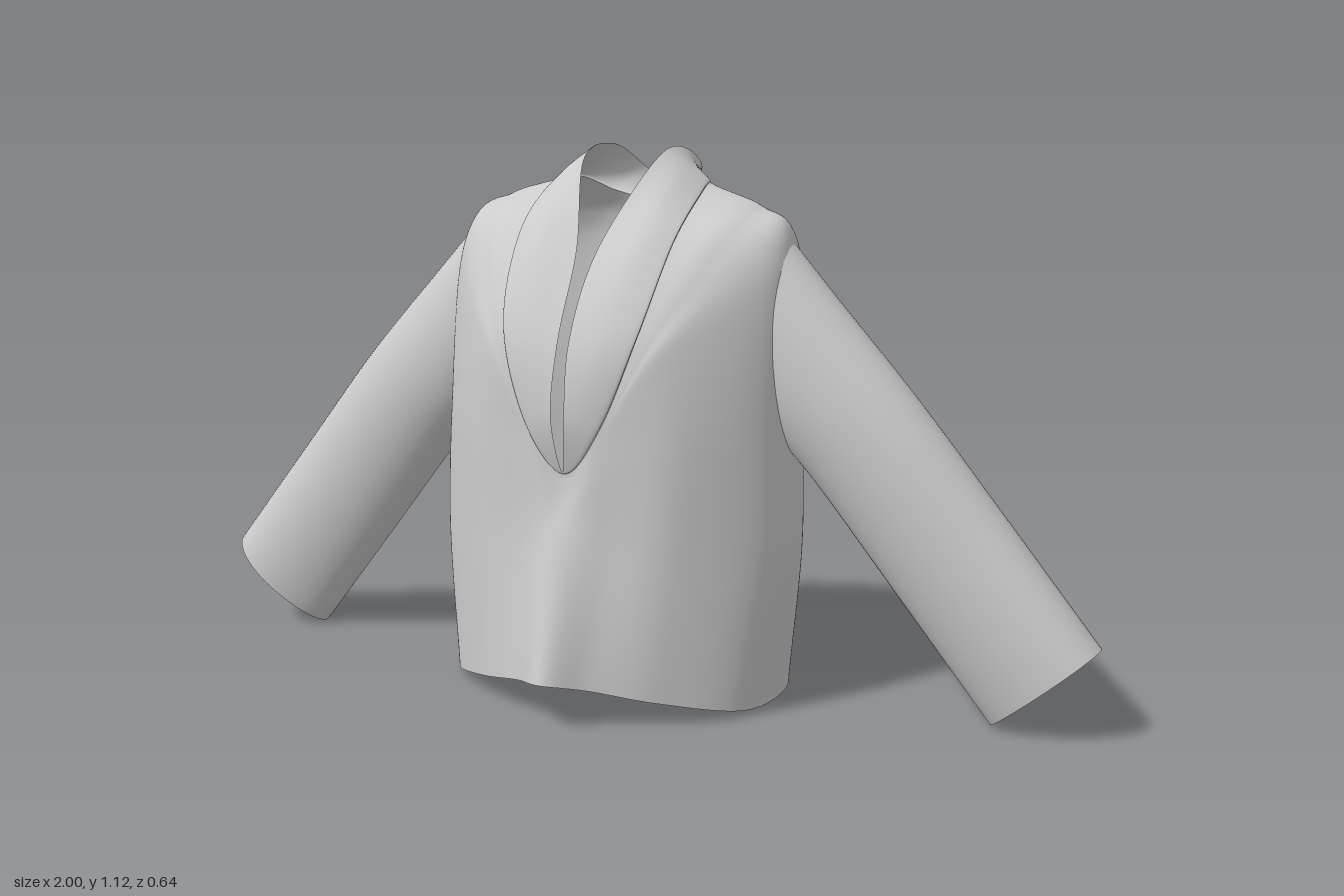
import * as THREE from 'three';

const cloth = new THREE.MeshStandardMaterial({ color: 0xcccccc, side: THREE.DoubleSide });
const V = (p) => new THREE.Vector3(...p);

// Smooth skin through a stack of closed rings that share the same point count.
// Faces whose corner lies in the optional opening are left out.
function loft(name, rings, nu, nv, inOpening = () => false) {
  const curves = rings.map((r) => new THREE.CatmullRomCurve3(r, true, 'catmullrom'));
  const points = [], index = [];
  for (let i = 0; i < nu; i++) {
    const column = new THREE.CatmullRomCurve3(curves.map((c) => c.getPoint(i / nu)), false, 'catmullrom');
    for (let j = 0; j <= nv; j++) points.push(column.getPoint(j / nv));
  }
  for (let i = 0; i < nu; i++) {
    for (let j = 0; j < nv; j++) {
      const a = i * (nv + 1) + j, b = ((i + 1) % nu) * (nv + 1) + j;
      const corners = [a, b, a + 1, b + 1];
      if (!corners.every((k) => inOpening(points[k]))) index.push(a, b, a + 1, b, b + 1, a + 1);
    }
  }
  const geo = new THREE.BufferGeometry().setFromPoints(points);
  geo.setIndex(index);
  geo.computeVertexNormals();
  const mesh = new THREE.Mesh(geo, cloth);
  mesh.name = name;
  return mesh;
}

// Half ring (front centre, round the +x side, to back centre) mirrored to a full loop
function mirrored(half) {
  const other = half.slice(1, -1).reverse().map(([x, y, z]) => [-x, y, z]);
  return [...half, ...other].map(V);
}

// Body cross-sections, from the hem up to the neckline
const hem = [[0, .095, .32], [.08, .078, .262], [.2, .048, .19], [.325, .015, .07], [.35, .007, -.08], [.31, .01, -.21], [.17, .022, -.297], [0, .025, -.24]];
const waist = [[0, .35, .248], [.1, .34, .217], [.22, .33, .175], [.355, .32, .05], [.385, .32, -.08], [.33, .32, -.2], [.18, .32, -.28], [0, .32, -.25]];
const chest = [[0, .44, .22], [.09, .52, .212], [.23, .58, .168], [.355, .58, .035], [.37, .6, -.1], [.33, .6, -.195], [.18, .6, -.264], [0, .6, -.247]];
const shoulder = [[0, .485, .211], [.085, .58, .211], [.2, .74, .173], [.34, .87, .015], [.357, .94, -.1], [.325, .865, -.2], [.18, .86, -.25], [0, .85, -.24]];
const yoke = [[0, .493, .21], [.083, .59, .211], [.17, .765, .176], [.255, .945, .042], [.28, 1.01, -.1], [.25, .975, -.188], [.14, .958, -.233], [0, .95, -.226]];
const neckline = [[0, .5, .21], [.082, .6, .211], [.145, .78, .176], [.168, .95, .064], [.168, 1.04, -.08], [.145, 1.045, -.16], [.085, 1.015, -.2], [0, 1, -.21]];

// Shawl collar rising from the neckline: a raised seam, a soft roll, then the free inner edge
const collarSeam = [[0, .501, .212], [.08, .602, .22], [.143, .784, .185], [.166, .956, .072], [.165, 1.049, -.078], [.142, 1.053, -.162], [.085, 1.02, -.21], [0, 1, -.22]];
const collarRoll = [[0, .502, .213], [.05, .61, .229], [.085, .775, .202], [.108, .955, .099], [.125, 1.074, -.05], [.11, 1.085, -.163], [.08, 1.038, -.25], [0, .997, -.267]];
const collarEdge = [[0, .505, .214], [.014, .62, .236], [.012, .77, .206], [.022, .93, .107], [.078, 1.095, -.035], [.078, 1.116, -.17], [.067, 1.06, -.298], [0, .993, -.32]];

// Armhole in the body, covered by the root of the sleeve
const inArmhole = ({ x, y, z }) => Math.abs(x) > .28 && Math.hypot((y - .745) / .2, (z + .092) / .1) < 1;

// Sleeve sections: top x y, bottom x y, centre z, half depth, narrowing of the underside
const sleeveSections = [
  [.335, .965, .36, .53, -.091, .102, 0],
  [.45, .838, .38, .51, -.09, .099, 0],
  [.62, .65, .44, .44, -.095, .095, .05],
  [.8, .43, .61, .225, -.108, .088, .1],
  [1, .183, .788, .001, -.12, .081, .2],
];

function sleeveRing([tx, ty, bx, by, z, depth, narrow]) {
  return Array.from({ length: 16 }, (_, i) => {
    const a = (i / 16) * Math.PI * 2, k = (1 + Math.cos(a)) / 2;
    const half = depth * Math.sin(a) * (1 + narrow * Math.cos(a));
    return new THREE.Vector3(bx + (tx - bx) * k, by + (ty - by) * k, z + half);
  });
}

export function createModel() {
  const jacket = new THREE.Group();
  jacket.name = 'jacket';

  jacket.add(loft('body', [hem, waist, chest, shoulder, yoke, neckline].map(mirrored), 196, 100, inArmhole));
  jacket.add(loft('collar', [neckline, collarSeam, collarRoll, collarEdge].map(mirrored), 140, 24));

  // Sleeves, mirrored left and right
  for (const side of [1, -1]) {
    const sleeve = loft(side > 0 ? 'leftSleeve' : 'rightSleeve', sleeveSections.map(sleeveRing), 48, 40);
    sleeve.scale.x = side;
    jacket.add(sleeve);
  }
  return jacket;
}
